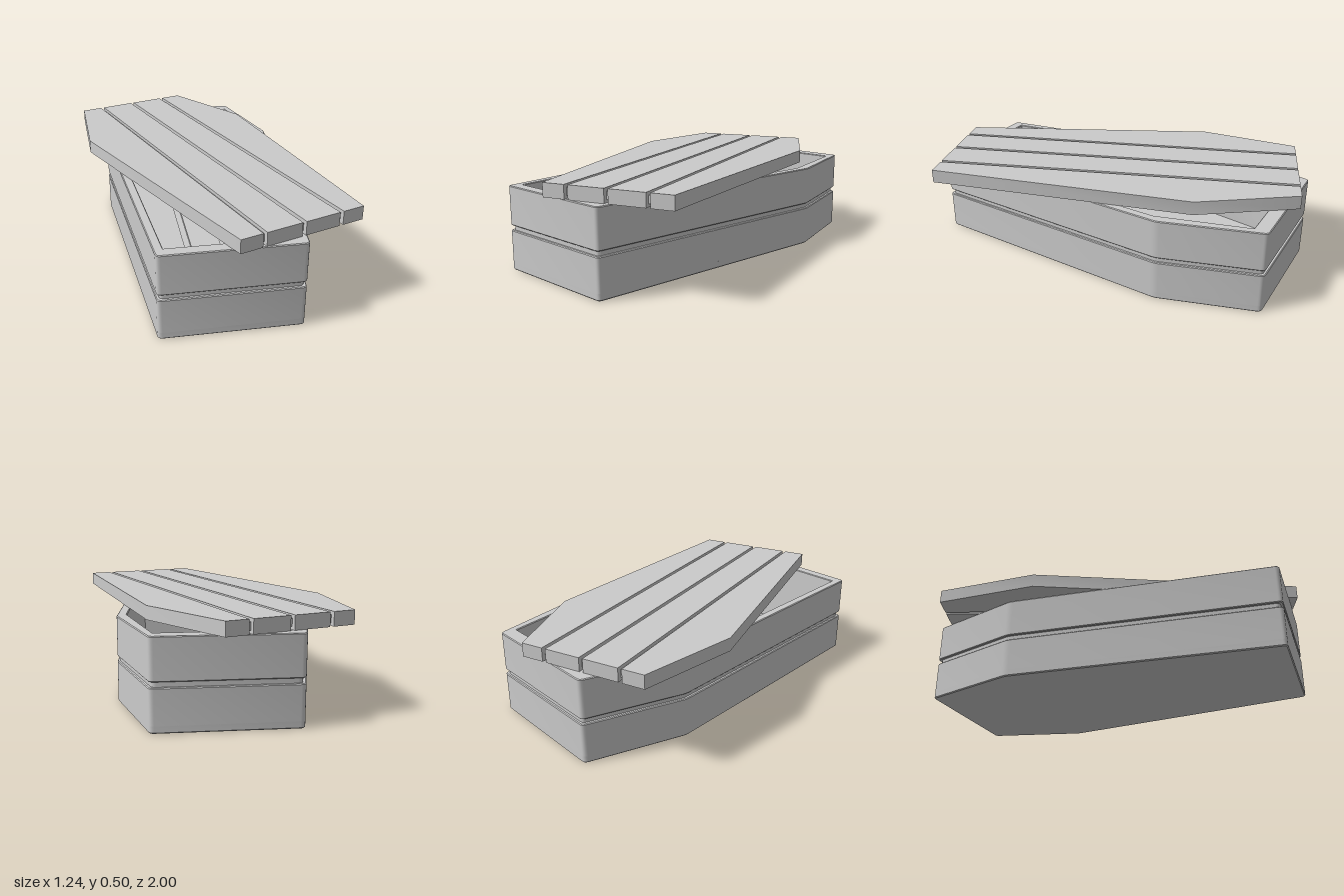
import * as THREE from 'three';
import { toCreasedNormals } from 'three/addons/utils/BufferGeometryUtils.js';

const material = new THREE.MeshStandardMaterial({ color: 0xcccccc });

// Six-sided plan: [half width, z] at head, shoulder and foot; y of the 2D plan is -z
const plan = (head, shoulder, foot) => {
  const right = [foot, shoulder, head].map(([w, z]) => new THREE.Vector2(w, -z));
  const left = [head, shoulder, foot].map(([w, z]) => new THREE.Vector2(-w, -z));
  return [...right, ...left];
};

// Closed path with softly rounded corners
function rounded(points, r, PathClass = THREE.Shape) {
  const path = new PathClass();
  points.forEach((p, i) => {
    const n = points.length;
    const toward = (q) => p.clone().add(q.clone().sub(p).setLength(r));
    const a = toward(points[(i + n - 1) % n]);
    const b = toward(points[(i + 1) % n]);
    if (i === 0) path.moveTo(a.x, a.y);
    else path.lineTo(a.x, a.y);
    path.quadraticCurveTo(p.x, p.y, b.x, b.y);
  });
  path.closePath();
  return path;
}

// Keep the part of a convex plan where sign * x <= sign * limit
function clip(points, limit, sign) {
  const out = [];
  points.forEach((p, i) => {
    const q = points[(i + 1) % points.length];
    const dp = sign * (limit - p.x);
    const dq = sign * (limit - q.x);
    if (dp >= 0) out.push(p);
    if (dp * dq < 0) out.push(p.clone().lerp(q, dp / (dp - dq)));
  });
  return out;
}

// Extrude a plan upward between two heights
function slab(name, shape, y0, y1, bevel = 0) {
  const geo = new THREE.ExtrudeGeometry(shape, {
    depth: y1 - y0 - 2 * bevel, curveSegments: 4,
    bevelEnabled: bevel > 0, bevelSize: bevel, bevelThickness: bevel,
    bevelOffset: -bevel, bevelSegments: 1,
  });
  geo.rotateX(-Math.PI / 2);
  geo.translate(0, y0 + bevel, 0);
  const mesh = new THREE.Mesh(toCreasedNormals(geo, 0.6), material);
  mesh.name = name;
  return mesh;
}

// Boards cut from one plan, separated by gaps centred on the given x positions
function boards(name, points, seams, gap, y0, y1) {
  const group = new THREE.Group();
  group.name = name;
  const edges = [-2, ...seams, 2];
  for (let i = 0; i < edges.length - 1; i++) {
    const cut = clip(clip(points, edges[i] + gap / 2, -1), edges[i + 1] - gap / 2, 1);
    group.add(slab('board', new THREE.Shape(cut), y0, y1));
  }
  return group;
}

export function createModel() {
  const model = new THREE.Group();
  model.name = 'openCasket';

  // Box: bottom plate, two wall rings and a recessed band between them
  const box = new THREE.Group();
  box.name = 'box';
  box.position.x = -0.02;
  const outer = plan([0.342, -0.943], [0.478, -0.435], [0.338, 0.956]);
  const band = plan([0.33, -0.93], [0.464, -0.435], [0.326, 0.942]);
  const inner = plan([0.32, -0.865], [0.427, -0.4], [0.3, 0.895]);
  const ring = (points) => {
    const shape = rounded(points, 0.02);
    shape.holes.push(new THREE.Path(inner));
    return shape;
  };
  box.add(
    slab('bottomPlate', rounded(outer, 0.02), 0, 0.04, 0.005),
    slab('lowerWall', ring(outer), 0.03, 0.205, 0.004),
    slab('recessedBand', ring(band), 0.2, 0.235),
    slab('upperWall', ring(outer), 0.23, 0.43, 0.004),
    boards('floorBoards', inner, [-0.0975, 0.0975], 0.035, 0.035, 0.055),
  );
  model.add(box);

  // Lid: four boards around a thinner core, turned aslant on the box
  const lid = new THREE.Group();
  lid.name = 'lid';
  lid.rotation.y = 0.332;
  const lidPlan = plan([0.33, -0.944], [0.482, -0.431], [0.33, 0.944]);
  const core = plan([0.32, -0.922], [0.47, -0.431], [0.32, 0.922]);
  lid.add(
    slab('lidCore', new THREE.Shape(core), 0.445, 0.483),
    boards('lidBoards', lidPlan, [-0.206, 0, 0.206], 0.02, 0.431, 0.5),
  );
  model.add(lid);

  return model;
}
